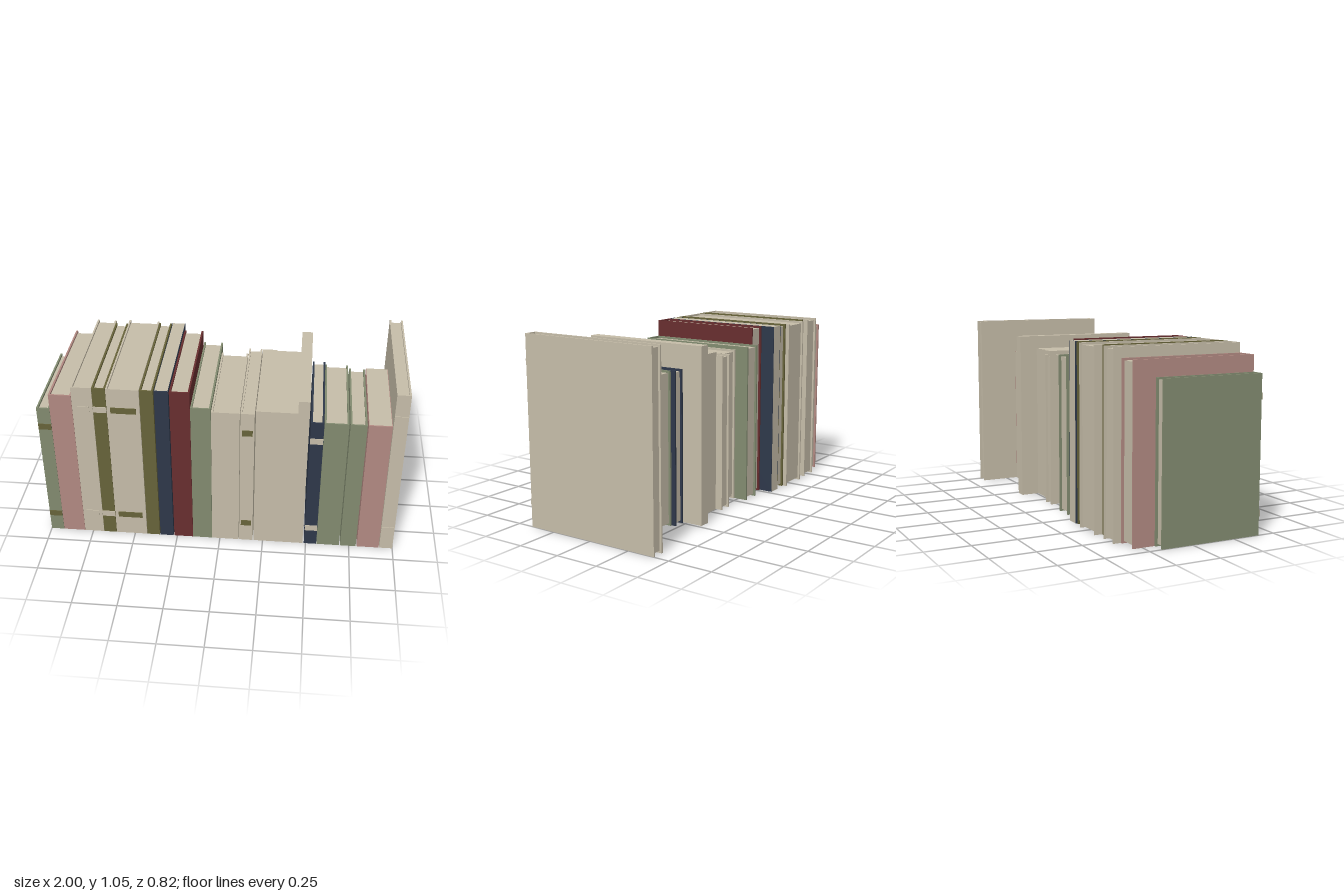
import * as THREE from 'three';

function material(name, color) {
  const m = new THREE.MeshStandardMaterial({ color });
  m.name = name;
  return m;
}

const FRONT = 0.405; // all spines line up on this plane

export function createModel() {
  const mats = {
    cream: material('cream', 0xc6bda9),
    green: material('green', 0x828b70),
    pink: material('pink', 0xb28a82),
    olive: material('olive', 0x67633a),
    navy: material('navy', 0x2e384a),
    red: material('red', 0x682e2f),
  };

  const addBox = (group, name, mat, x0, x1, y0, y1, z0, z1) => {
    const mesh = new THREE.Mesh(new THREE.BoxGeometry(x1 - x0, y1 - y0, z1 - z0), mat);
    mesh.name = name;
    mesh.position.set((x0 + x1) / 2, (y0 + y1) / 2, (z0 + z1) / 2);
    group.add(mesh);
  };

  // One book: a U-shaped cover wrapped around a page block, plus optional spine bands.
  // Hardcovers overhang their pages; paperbacks are thin and trimmed flush.
  function makeBook({ color, x0, x1, h, back, paperback = false, bands }) {
    const book = new THREE.Group();
    const t = paperback ? 0.003 : 0.01;
    const spine = 0.008;
    const overhang = paperback ? 0 : 0.012;

    // Cover section, drawn with -z as the shape's second axis
    const u = new THREE.Shape([
      [x0, -FRONT], [x1, -FRONT], [x1, -back], [x1 - t, -back],
      [x1 - t, -FRONT + spine], [x0 + t, -FRONT + spine], [x0 + t, -back], [x0, -back],
    ].map(([x, y]) => new THREE.Vector2(x, y)));
    const coverGeo = new THREE.ExtrudeGeometry(u, { depth: h, bevelEnabled: false });
    coverGeo.rotateX(-Math.PI / 2);
    const cover = new THREE.Mesh(coverGeo, mats[color]);
    cover.name = 'cover';
    book.add(cover);

    addBox(book, 'pages', mats.cream, x0 + t, x1 - t,
      overhang, h - overhang, back + overhang, FRONT - spine);

    if (bands) {
      const inset = bands.inset ?? 0.001;
      for (const y of bands.at) {
        addBox(book, 'spineBand', mats[bands.color], x0 + inset, x1 - inset,
          y - 0.018, y + 0.018, FRONT - 0.002, FRONT + 0.004);
      }
    }
    return book;
  }

  // The row, from the model's right to its left
  const books = [
    { color: 'green', x0: -1, x1: -0.926, h: 0.855, back: -0.18, bands: { color: 'olive', at: [0.12, 0.735] } },
    { color: 'pink', x0: -0.925, x1: -0.8, h: 0.945, back: -0.305 },
    { color: 'cream', x0: -0.799, x1: -0.686, h: 1, back: -0.348, bands: { color: 'cream', at: [0.14, 0.865], inset: 0.02 } },
    { color: 'olive', x0: -0.685, x1: -0.611, h: 1, back: -0.315, bands: { color: 'cream', at: [0.14, 0.865] } },
    { color: 'cream', x0: -0.61, x1: -0.43, h: 1, back: -0.36, bands: { color: 'olive', at: [0.14, 0.865], inset: 0.02 } },
    { color: 'olive', x0: -0.428, x1: -0.354, h: 1, back: -0.338 },
    { color: 'navy', x0: -0.35, x1: -0.273, h: 1, back: -0.345, paperback: true },
    { color: 'red', x0: -0.268, x1: -0.158, h: 1, back: -0.265 },
    { color: 'green', x0: -0.157, x1: -0.046, h: 0.905, back: -0.305 },
    { color: 'cream', x0: -0.045, x1: 0.11, h: 0.885, back: -0.225 },
    { color: 'cream', x0: 0.113, x1: 0.19, h: 0.885, back: -0.287, bands: { color: 'olive', at: [0.13, 0.76], inset: 0.009 } },
    { color: 'cream', x0: 0.196, x1: 0.28, h: 0.905, back: -0.25, paperback: true },
    { color: 'cream', x0: 0.28, x1: 0.42, h: 0.905, back: -0.24, paperback: true },
    { color: 'cream', x0: 0.42, x1: 0.482, h: 0.98, back: -0.345, paperback: true },
    { color: 'navy', x0: 0.49, x1: 0.562, h: 0.85, back: -0.23, bands: { color: 'cream', at: [0.12, 0.73] } },
    { color: 'green', x0: 0.563, x1: 0.694, h: 0.85, back: -0.205 },
    { color: 'green', x0: 0.7, x1: 0.79, h: 0.85, back: -0.168 },
    { color: 'pink', x0: 0.796, x1: 0.922, h: 0.85, back: -0.18, paperback: true },
    { color: 'cream', x0: 0.925, x1: 1, h: 1.05, back: -0.41, bands: { color: 'cream', at: [0.14, 0.9] } },
  ];

  const row = new THREE.Group();
  row.name = 'bookRow';
  books.forEach((spec, i) => {
    const book = makeBook(spec);
    book.name = `${spec.color}Book${i + 1}`;
    row.add(book);
  });
  return row;
}
